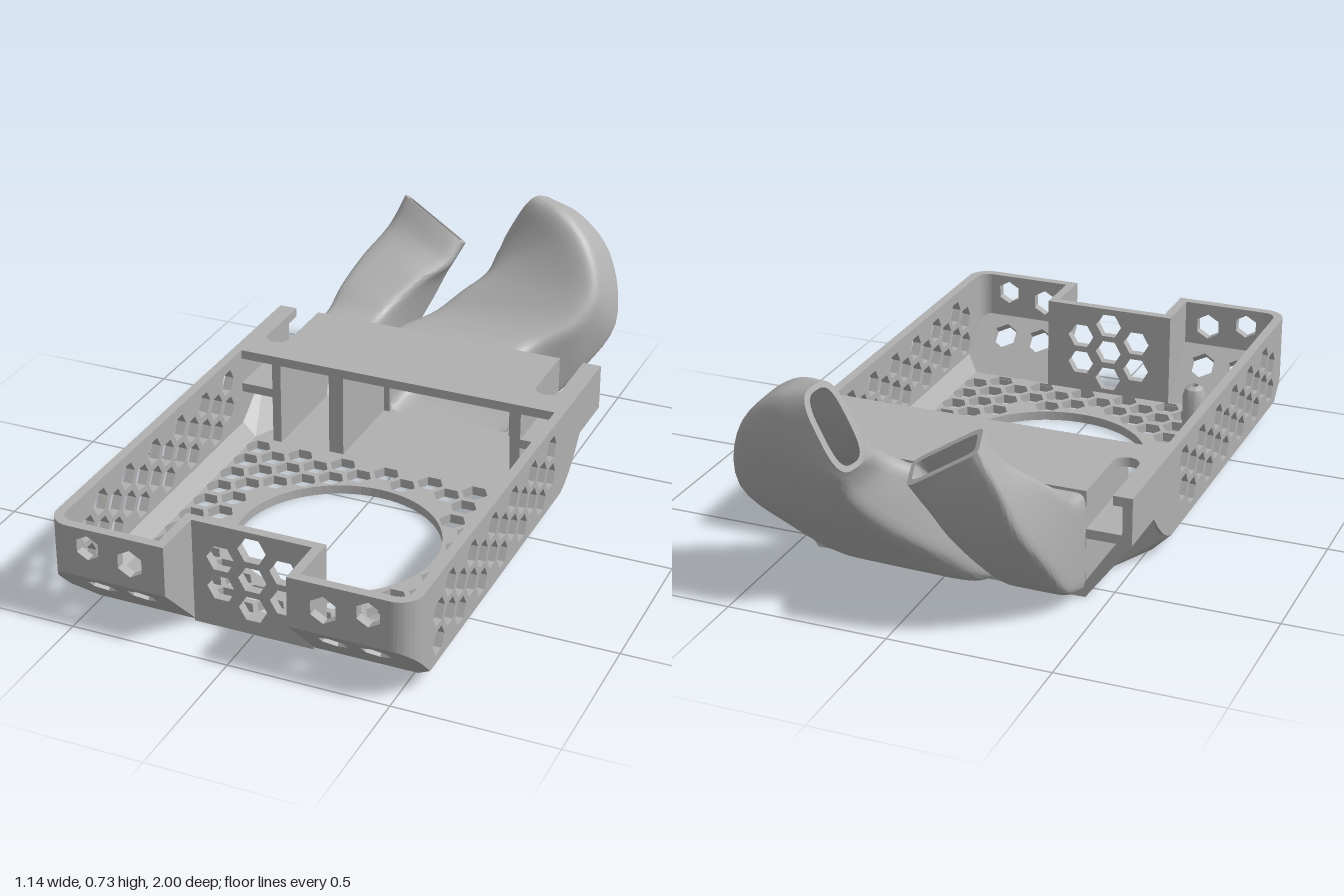
import * as THREE from 'three';
import { toCreasedNormals } from 'three/addons/utils/BufferGeometryUtils.js';
import { ConvexGeometry } from 'three/addons/geometries/ConvexGeometry.js';

const V = (x, y, z) => new THREE.Vector3(x, y, z);
const grey = new THREE.MeshStandardMaterial({ color: 0xb0b0b0, side: THREE.DoubleSide });
grey.name = 'grey plastic';
const T = 0.03; // wall thickness

function add(parent, name, geometry, x = 0, y = 0, z = 0) {
  const mesh = new THREE.Mesh(geometry, grey);
  mesh.name = name;
  mesh.position.set(x, y, z);
  parent.add(mesh);
  return mesh;
}

const poly = (pts) => new THREE.Shape(pts.map((p) => new THREE.Vector2(p[0], p[1])));

// cut a hexagon; turn = 0 puts points left and right
function hexHole(shape, x, y, r, turn = 0) {
  const pts = [];
  for (let i = 0; i < 6; i++) {
    const a = turn - (i * Math.PI) / 3;
    pts.push(new THREE.Vector2(x + r * Math.cos(a), y + r * Math.sin(a)));
  }
  shape.holes.push(new THREE.Path(pts));
}

const plate = (shape, depth = T) =>
  new THREE.ExtrudeGeometry(shape, { depth, bevelEnabled: false, curveSegments: 32 });
const flat = (shape, depth = T) => plate(shape, depth).rotateX(Math.PI / 2); // (x, z), grows down
const upright = (shape, depth = T) => plate(shape, depth).rotateY(-Math.PI / 2); // (z, y), grows to -x

// floor with the fan opening and a honeycomb of vents around it
function buildFloor(g) {
  const s = poly([[-0.51, 0.82], [-0.19, 0.82], [-0.19, 0.83], [0.19, 0.83], [0.19, 0.82], [0.51, 0.82],
    [0.51, -0.2], [0.43, -0.37], [0.43, -0.56], [-0.43, -0.56], [-0.43, -0.37], [-0.51, -0.2]]);
  const fan = V(0.02, 0.28, 0);
  s.holes.push(new THREE.Path().absarc(fan.x, fan.y, 0.32, 0, Math.PI * 2, true));
  for (let k = 0; k < 13; k++) {
    for (let j = 0; j < 10; j++) {
      const x = -0.457 + k * 0.0762;
      const z = -0.14 + j * 0.095 + (k % 2) * 0.0475;
      const nearFan = Math.hypot(x - fan.x, z - fan.y) < 0.363;
      const nearPost = Math.hypot(x - 0.46, z + 0.07) < 0.116 || (x < -0.34 && z > 0.6);
      if (!nearFan && !nearPost && z < 0.78) hexHole(s, x, z, 0.043);
    }
  }
  add(g, 'floor', flat(s), 0, T, 0);
}

// one half of the tray shell, built for +x
function buildHalf(name) {
  const g = new THREE.Group();
  g.name = name;

  const side = poly([[-0.56, 0.34], [-0.56, 0.19], [-0.37, 0.19], [-0.33, 0.145], [-0.28, 0.1],
    [-0.24, 0.075], [-0.2, 0.06], [0.88, 0.06], [0.93, 0.11], [0.93, 0.34]]);
  for (let k = 0; k < 12; k++) {
    for (const y of k % 2 ? [0.268, 0.172] : [0.22, 0.125]) hexHole(side, 0.82 - k * 0.0833, y, 0.043);
  }
  add(g, 'sideWall', upright(side), 0.57, 0, 0);

  // slanted lower edges
  add(g, 'sideChamfer', new ConvexGeometry([
    V(0.51, 0, 0.82), V(0.57, 0.06, 0.88), V(0.54, 0.075, 0.88), V(0.495, 0.03, 0.82),
    V(0.51, 0, -0.2), V(0.57, 0.06, -0.2), V(0.54, 0.075, -0.2), V(0.495, 0.03, -0.2)]));
  add(g, 'rearCornerTransition', new ConvexGeometry([
    V(0.51, 0, -0.2), V(0.57, 0.06, -0.2), V(0.54, 0.075, -0.2), V(0.495, 0.03, -0.2),
    V(0.43, 0, -0.37), V(0.57, 0.19, -0.37), V(0.54, 0.2, -0.37), V(0.42, 0.03, -0.37)]));
  add(g, 'rearChamfer', new ConvexGeometry([-0.37, -0.56].flatMap((z) => [
    V(0.43, 0, z), V(0.57, 0.19, z), V(0.54, 0.21, z), V(0.415, 0.03, z)])));

  // sloping front plate with a rounded outer corner
  const slope = [[0.19, 0.82], [0.51, 0.82], [0.57, 0.88]];
  for (let i = 0; i <= 10; i++) {
    const a = (i / 10) * Math.PI / 2;
    slope.push([0.5 + 0.07 * Math.cos(a), 0.93 + 0.07 * Math.sin(a)]);
  }
  slope.push([0.19, 1]);
  const slopeShape = poly(slope.map(([x, z]) => [x, (z - 0.82) * Math.SQRT2]));
  for (const x of [0.3, 0.43]) hexHole(slopeShape, x, 0.165, 0.045, Math.PI / 6);
  const t = T * Math.SQRT1_2;
  add(g, 'frontSlope', plate(slopeShape).rotateX(Math.PI / 4), 0, t, 0.82 - t);

  // upright front wall
  const front = poly([[0.19, 0.18], [0.5, 0.18], [0.5, 0.34], [0.19, 0.34]]);
  hexHole(front, 0.3, 0.26, 0.044, Math.PI / 6);
  hexHole(front, 0.435, 0.28, 0.04, Math.PI / 6);
  add(g, 'frontWall', plate(front), 0, 0, 0.97);

  // rounded corner whose lower edge follows the slope
  const ring = new THREE.Shape();
  ring.absarc(0.5, 0.93, 0.07, 0, Math.PI / 2, false);
  ring.absarc(0.5, 0.93, 0.04, Math.PI / 2, 0, true);
  const corner = flat(ring, 0.23).translate(0, 0.34, 0);
  const p = corner.attributes.position;
  for (let i = 0; i < p.count; i++) if (p.getY(i) < 0.2) p.setY(i, p.getZ(i) - 0.82);
  add(g, 'frontCorner', toCreasedNormals(corner, 0.6));

  // return wall of the front recess
  add(g, 'recessSide', upright(poly([[0.8, 0.01], [0.83, 0.01], [1, 0.18], [1, 0.34], [0.8, 0.34]])), 0.22, 0, 0);

  // groove beside the rear duct
  add(g, 'grooveFloor', new THREE.BoxGeometry(0.14, 0.03, 0.36), 0.485, 0.205, -0.38);
  add(g, 'grooveWall', new THREE.BoxGeometry(0.03, 0.33, 0.36), 0.415, 0.17, -0.38);
  return g;
}

function buildRecessWall(g) {
  const s = poly([[-0.19, 0.01], [0.19, 0.01], [0.19, 0.34], [-0.19, 0.34]]);
  for (const [x, ys] of [[-0.1, [0.132, 0.23]], [0, [0.085, 0.183, 0.28]], [0.1, [0.132, 0.23]]]) {
    for (const y of ys) hexHole(s, x, y, 0.045);
  }
  add(g, 'recessWall', plate(s), 0, 0, 0.8);
}

// covered air box at the rear
function buildAirBox(g) {
  const roof = new THREE.Shape();
  roof.moveTo(-0.55, -0.2).lineTo(0.55, -0.2).lineTo(0.55, -0.56).lineTo(0.51, -0.56).lineTo(0.51, -0.34);
  roof.absarc(0.47, -0.34, 0.04, 0, Math.PI, false);
  roof.lineTo(0.43, -0.56).lineTo(-0.43, -0.56).lineTo(-0.43, -0.34);
  roof.absarc(-0.47, -0.34, 0.04, 0, Math.PI, false);
  roof.lineTo(-0.51, -0.56).lineTo(-0.55, -0.56);
  add(g, 'airBoxRoof', flat(roof), 0, 0.34, 0);

  const back = poly([[-0.43, 0], [0.43, 0], [0.43, 0.34], [-0.43, 0.34]]);
  for (const [a, b] of [[-0.41, -0.25], [-0.16, 0.27]]) {
    back.holes.push(new THREE.Path([[a, 0.03], [a, 0.31], [b, 0.31], [b, 0.03]].map((q) => new THREE.Vector2(...q))));
  }
  add(g, 'airBoxBack', plate(back, 0.02), 0, 0, -0.56);
  add(g, 'airBoxDivider', new THREE.BoxGeometry(0.05, 0.3, 0.35), -0.205, 0.17, -0.38);
  const guide = poly([[0.4, -0.2], [0.43, -0.2], [0.3, -0.55], [0.27, -0.55]]);
  add(g, 'airBoxGuide', flat(guide, 0.3), 0, 0.32, 0);
}

// hollow nozzle lofted through [left edge, right edge, half thickness] sections
function nozzle(sections, power0, power1) {
  const curves = [0, 1, 2].map((k) => new THREE.CatmullRomCurve3(sections.map((s) => V(...s[k]))));
  const N = 28, M = 48, pos = [], idx = [];
  function ring(t, inset) {
    const [l, r, v] = curves.map((c) => c.getPoint(t));
    const c = l.clone().add(r).multiplyScalar(0.5);
    const u = r.clone().sub(l).multiplyScalar(0.5);
    u.setLength(u.length() - inset);
    v.setLength(v.length() - inset);
    const e = 2 / THREE.MathUtils.lerp(power0, power1, t);
    for (let j = 0; j < M; j++) {
      const a = (j / M) * Math.PI * 2, ca = Math.cos(a), sa = Math.sin(a);
      const q = c.clone()
        .addScaledVector(u, Math.sign(ca) * Math.abs(ca) ** e)
        .addScaledVector(v, Math.sign(sa) * Math.abs(sa) ** e);
      pos.push(q.x, q.y, q.z);
    }
  }
  // outside to the mouth, then back along the inside
  for (let i = 0; i <= N; i++) ring(i / N, 0);
  for (let i = N; i >= 0; i--) ring(i / N, 0.016);
  for (let i = 0; i < 2 * N + 1; i++) {
    for (let j = 0; j < M; j++) {
      const a = i * M + j, b = i * M + ((j + 1) % M);
      idx.push(a, a + M, b, b, a + M, b + M);
    }
  }
  const geo = new THREE.BufferGeometry();
  geo.setAttribute('position', new THREE.Float32BufferAttribute(pos, 3));
  geo.setIndex(idx);
  return toCreasedNormals(geo, 0.7);
}

export function createModel() {
  const model = new THREE.Group();
  model.name = 'fanTrayWithNozzles';

  buildFloor(model);
  const left = buildHalf('leftShell');
  const right = buildHalf('rightShell');
  right.scale.x = -1;
  model.add(left, right);
  buildRecessWall(model);
  buildAirBox(model);

  // fan mounting posts
  const post = new THREE.LatheGeometry(
    [[0.038, 0.02], [0.038, 0.13], [0.03, 0.155], [0.014, 0.165], [0.014, 0.1], [0, 0.1]].map((q) => new THREE.Vector2(...q)), 24);
  add(model, 'mountingPost', toCreasedNormals(post, 0.5), 0.46, 0, -0.07);
  add(model, 'mountingPost', toCreasedNormals(post, 0.5), -0.35, 0, 0.68);

  add(model, 'wideNozzle', nozzle([
    [[-0.18, 0.17, -0.55], [0.29, 0.17, -0.55], [0, 0.16, 0]],
    [[-0.16, 0.19, -0.64], [0.33, 0.2, -0.64], [0, 0.15, 0.03]],
    [[-0.08, 0.25, -0.72], [0.44, 0.29, -0.74], [0, 0.12, 0.04]],
    [[0.02, 0.34, -0.81], [0.5, 0.41, -0.83], [-0.03, 0.09, 0.06]],
    [[0.09, 0.42, -0.89], [0.44, 0.59, -0.9], [-0.04, 0.05, 0.07]],
    [[0.1, 0.475, -0.94], [0.33, 0.69, -0.93], [-0.04, 0.03, 0.06]],
    [[0.1, 0.49, -0.955], [0.22, 0.72, -0.955], [-0.03, 0.02, 0.045]],
  ], 9, 3.2));
  add(model, 'narrowNozzle', nozzle([
    [[-0.43, 0.17, -0.55], [-0.23, 0.17, -0.55], [0, 0.16, 0]],
    [[-0.425, 0.2, -0.65], [-0.22, 0.2, -0.65], [0, 0.14, 0.03]],
    [[-0.41, 0.3, -0.75], [-0.19, 0.27, -0.75], [0, 0.1, 0.06]],
    [[-0.37, 0.42, -0.86], [-0.14, 0.36, -0.84], [0, 0.06, 0.07]],
    [[-0.32, 0.54, -0.93], [-0.09, 0.43, -0.91], [0.02, 0.03, 0.055]],
    [[-0.275, 0.64, -0.955], [-0.06, 0.5, -0.955], [0.01, 0.02, 0.045]],
  ], 9, 7));
  return model;
}
